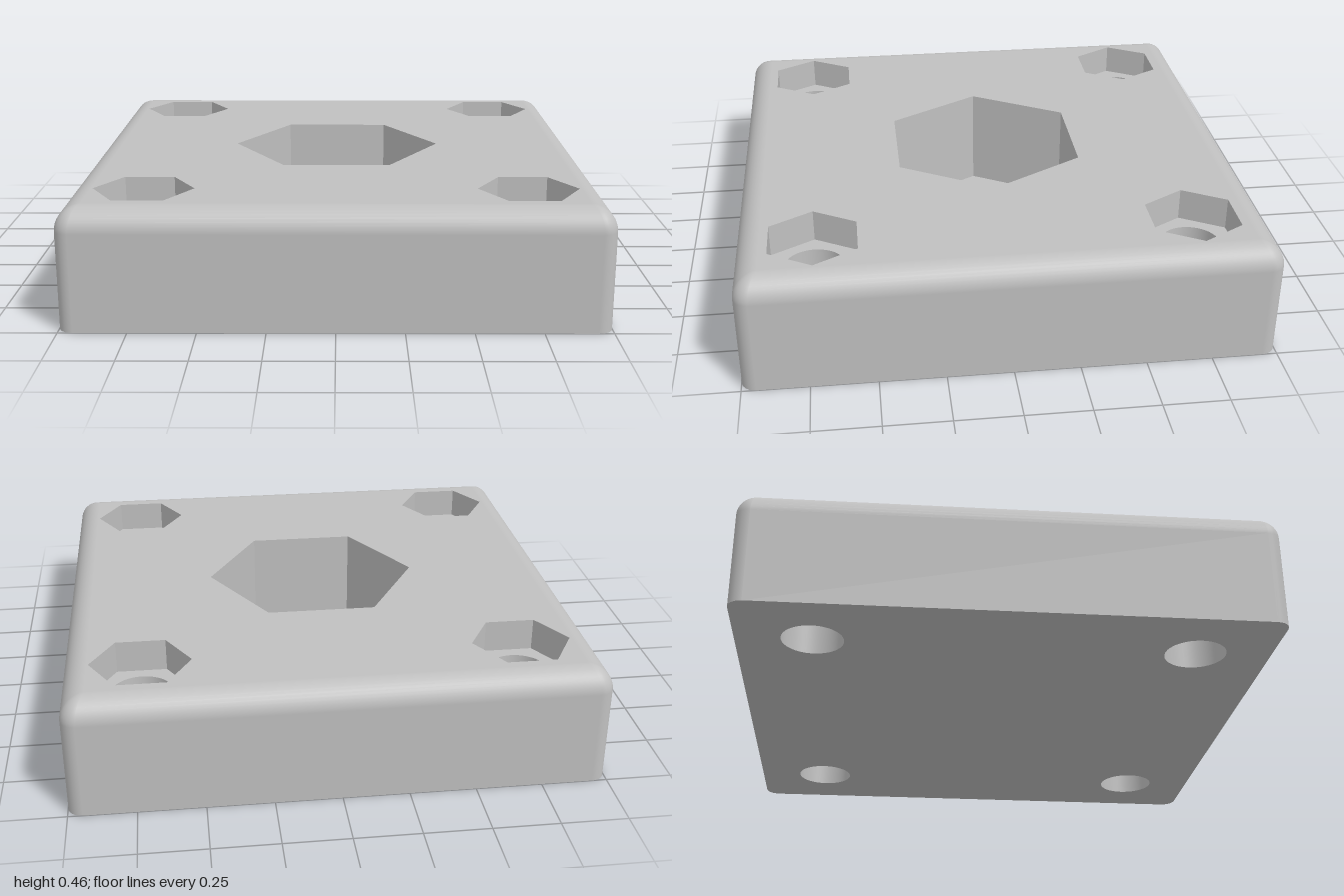
import * as THREE from 'three';

const HEIGHT = 0.46, FILLET = 0.09, CORNER = 0.055;
const BOLT = 0.714, BOLT_R = 0.116, NUT_R = 0.189, NUT_FLOOR = 0.335;
const POCKET_R = 0.422, POCKET_FLOOR = 0.05;
const CORNER_STEPS = 6, FILLET_STEPS = 10, ROUND = 48;

// rounded square outline at fillet angle t (0 = side wall, PI/2 = top face)
function outline(t) {
  const k = 1 - Math.cos(t);
  const half = 1 - FILLET * k, r = CORNER * (1 - 0.95 * k);
  const pts = [];
  for (let q = 0; q < 4; q++) {
    const mid = (q + 0.5) * Math.PI / 2;
    const cx = Math.sign(Math.cos(mid)) * (half - r), cz = Math.sign(Math.sin(mid)) * (half - r);
    for (let i = 0; i <= CORNER_STEPS; i++) {
      const a = (q + i / CORNER_STEPS) * Math.PI / 2;
      pts.push({ x: cx + r * Math.cos(a), z: cz + r * Math.sin(a), a });
    }
  }
  return pts;
}

// side walls and rounded top edge, lofted through the outlines
function shellGeometry() {
  const pos = [], nor = [], idx = [];
  const rings = [[0, 0]];
  for (let j = 0; j <= FILLET_STEPS; j++) {
    const t = j / FILLET_STEPS * Math.PI / 2;
    rings.push([t, HEIGHT - FILLET + FILLET * Math.sin(t)]);
  }
  const n = 4 * (CORNER_STEPS + 1);
  rings.forEach(([t, y], j) => {
    outline(t).forEach((p, i) => {
      pos.push(p.x, y, p.z);
      nor.push(Math.cos(p.a) * Math.cos(t), Math.sin(t), Math.sin(p.a) * Math.cos(t));
      if (j === rings.length - 1) return;
      const a = j * n + i, b = j * n + (i + 1) % n;
      idx.push(a, a + n, b, b, a + n, b + n);
    });
  });
  const g = new THREE.BufferGeometry();
  g.setAttribute('position', new THREE.Float32BufferAttribute(pos, 3));
  g.setAttribute('normal', new THREE.Float32BufferAttribute(nor, 3));
  g.setIndex(idx);
  return g;
}

// regular polygon with a corner on the x axis
function polygon(Type, r, sides, x = 0, y = 0) {
  const pts = [];
  for (let i = 0; i < sides; i++) {
    const a = i / sides * Math.PI * 2;
    pts.push(new THREE.Vector2(x + r * Math.cos(a), y + r * Math.sin(a)));
  }
  return new Type(pts);
}

// inward-facing wall of a hole
function holeWall(r, top, bottom, sides) {
  const g = new THREE.LatheGeometry(
    [new THREE.Vector2(r, top), new THREE.Vector2(r, bottom)], sides, Math.PI / 2);
  if (sides > 6) return g;
  const flat = g.toNonIndexed();
  flat.computeVertexNormals();
  return flat;
}

// horizontal face from a shape, facing up or down
function face(shape, y, up = true) {
  return new THREE.ShapeGeometry(shape).rotateX(up ? -Math.PI / 2 : Math.PI / 2).translate(0, y, 0);
}

export function createModel() {
  const group = new THREE.Group();
  const grey = new THREE.MeshStandardMaterial({ color: 0xc0c0c0 });
  grey.name = 'lightGrey';
  const add = (name, geometry, parent = group) => {
    const mesh = new THREE.Mesh(geometry, grey);
    mesh.name = name;
    parent.add(mesh);
    return mesh;
  };
  const square = t => new THREE.Shape(outline(t).map(p => new THREE.Vector2(p.x, p.z)));
  const bolts = [[1, 1], [-1, 1], [-1, -1], [1, -1]].map(([x, z]) => [x * BOLT, z * BOLT]);

  // block with pierced top and bottom faces
  const top = square(Math.PI / 2), bottom = square(0);
  top.holes.push(polygon(THREE.Path, POCKET_R, 6));
  for (const [x, z] of bolts) {
    top.holes.push(polygon(THREE.Path, NUT_R, 6, x, z));
    bottom.holes.push(polygon(THREE.Path, BOLT_R, ROUND, x, z));
  }
  add('blockSides', shellGeometry());
  add('topFace', face(top, HEIGHT));
  add('bottomFace', face(bottom, 0, false));

  // central hexagonal pocket
  add('pocketWall', holeWall(POCKET_R, HEIGHT, POCKET_FLOOR, 6));
  add('pocketFloor', face(polygon(THREE.Shape, POCKET_R, 6), POCKET_FLOOR));

  // corner nut recesses with through holes
  const seat = polygon(THREE.Shape, NUT_R, 6);
  seat.holes.push(polygon(THREE.Path, BOLT_R, ROUND));
  for (const [x, z] of bolts) {
    const corner = new THREE.Group();
    corner.name = 'cornerHole';
    corner.position.set(x, 0, z);
    add('nutRecessWall', holeWall(NUT_R, HEIGHT, NUT_FLOOR, 6), corner);
    add('nutRecessFloor', face(seat, NUT_FLOOR), corner);
    add('boltHoleWall', holeWall(BOLT_R, NUT_FLOOR, 0, ROUND), corner);
    group.add(corner);
  }
  return group;
}
